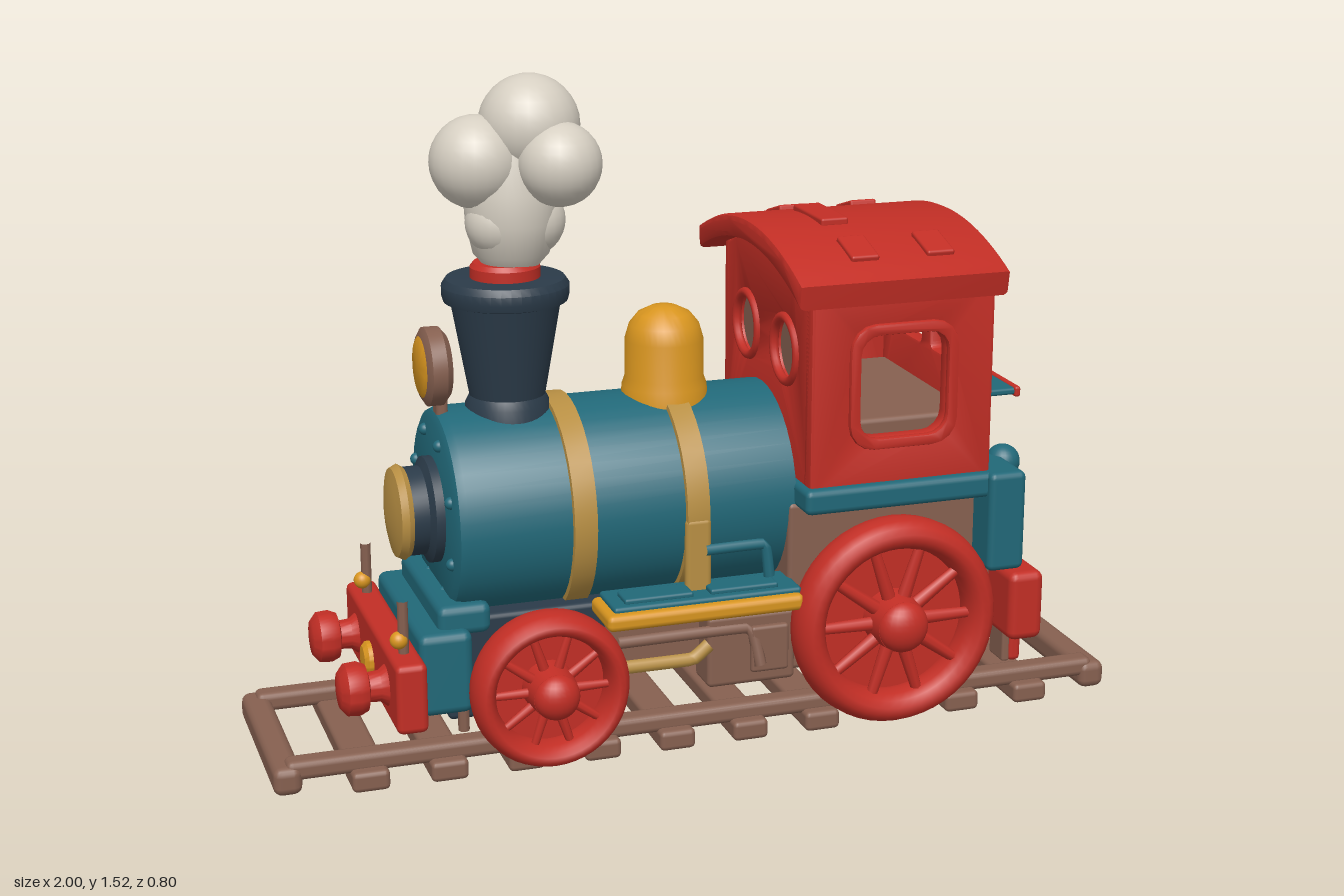
import * as THREE from 'three';
import { RoundedBoxGeometry } from 'three/addons/geometries/RoundedBoxGeometry.js';
import { toCreasedNormals } from 'three/addons/utils/BufferGeometryUtils.js';

const paint = (name, color) => {
  const m = new THREE.MeshStandardMaterial({ color });
  m.name = name;
  return m;
};

export function createModel() {
  const red = paint('red', 0xc22e25), teal = paint('teal', 0x216878), navy = paint('navy', 0x2b3b49);
  const brown = paint('brown', 0x866050), gold = paint('gold', 0xd8951f), tan = paint('tan', 0xb88f43);
  const cream = paint('cream', 0xd6cfc2);
  const model = new THREE.Group();
  model.name = 'toyTrain';

  const add = (name, geo, mat, x = 0, y = 0, z = 0, parent = model) => {
    const m = new THREE.Mesh(geo, mat);
    m.name = name;
    m.position.set(x, y, z);
    parent.add(m);
    return m;
  };
  // Rounded box given by its extents
  const box = (name, mat, x0, x1, y0, y1, z0, z1, r = 0.012) => {
    const w = x1 - x0, h = y1 - y0, d = z1 - z0;
    const geo = new RoundedBoxGeometry(w, h, d, 2, Math.min(r, w * 0.45, h * 0.45, d * 0.45));
    return add(name, geo, mat, (x0 + x1) / 2, (y0 + y1) / 2, (z0 + z1) / 2);
  };
  const ball = (name, mat, x, y, z, r) => add(name, new THREE.SphereGeometry(r, 24, 16), mat, x, y, z);
  // Turned part from [radius, height] points; axis y, or laid along -x
  const turned = (name, mat, pts, x, y, z, alongX = false) => {
    const lathe = new THREE.LatheGeometry(pts.map(p => new THREE.Vector2(...p)), 40);
    const m = add(name, toCreasedNormals(lathe, 0.6), mat, x, y, z);
    if (alongX) m.rotation.z = Math.PI / 2;
    return m;
  };
  const rod = (name, mat, r, pts) => add(name, new THREE.TubeGeometry(
    new THREE.CatmullRomCurve3(pts.map(p => new THREE.Vector3(...p)), false, 'catmullrom', 0.1), 16, r, 8), mat);
  const both = fn => [1, -1].forEach(fn);

  // Track
  both(s => box('rail', brown, -0.97, 0.97, 0.04, 0.085, s * 0.2 - 0.027, s * 0.2 + 0.027, 0.015));
  for (let i = 0; i < 10; i++) {
    const x = -0.79 + i * 0.176;
    box('sleeper', brown, x - 0.042, x + 0.042, 0.005, 0.052, -0.255, 0.255);
  }
  both(s => box('trackEnd', brown, s * 0.968 - 0.032, s * 0.968 + 0.032, 0.01, 0.075, -0.235, 0.235, 0.02));

  // Chassis
  box('frontFrame', navy, -0.6, -0.2, 0.12, 0.36, -0.19, 0.19);
  box('middleFrame', brown, -0.24, 0.22, 0.2, 0.35, -0.2, 0.2);
  box('rearFrame', brown, 0.18, 0.69, 0.16, 0.56, -0.24, 0.24);
  box('frontDeck', teal, -0.67, -0.55, 0.15, 0.34, -0.23, 0.23, 0.02);
  box('deckStep', teal, -0.62, -0.5, 0.32, 0.39, -0.2, 0.2, 0.02);
  both(s => {
    const zs = (a, b) => [Math.min(s * a, s * b), Math.max(s * a, s * b)];
    box('runningBoardEdge', gold, -0.27, 0.19, 0.335, 0.373, ...zs(0.18, 0.325), 0.014);
    box('runningBoardTop', teal, -0.25, 0.19, 0.36, 0.384, ...zs(0.18, 0.303), 0.008);
    box('boardPanel', teal, -0.22, -0.06, 0.38, 0.395, ...zs(0.22, 0.285), 0.006);
    box('boardPanel', teal, -0.02, 0.14, 0.38, 0.395, ...zs(0.22, 0.285), 0.006);
    box('cylinderBlock', brown, -0.02, 0.19, 0.15, 0.32, ...zs(0.17, 0.265));
    box('blockPanel', brown, 0.08, 0.17, 0.18, 0.29, ...zs(0.25, 0.278), 0.008);
    rod('pistonRod', tan, 0.016, [[-0.25, 0.23, s * 0.27], [-0.06, 0.23, s * 0.27], [-0.02, 0.26, s * 0.27]]);
    rod('sideRod', brown, 0.014, [[-0.23, 0.285, s * 0.26], [0.08, 0.285, s * 0.26], [0.1, 0.2, s * 0.28]]);
    rod('boilerPipe', teal, 0.013, [[-0.02, 0.475, s * 0.245], [0.12, 0.475, s * 0.245], [0.13, 0.4, s * 0.25]]);
  });

  // Boiler, bands and front door
  turned('boiler', teal, [[0, -0.2], [0.235, -0.2], [0.235, 0.555], [0.228, 0.572], [0.212, 0.58], [0, 0.58]], 0, 0.55, 0, true);
  [-0.295, -0.035].forEach(x => turned('boilerBand', tan,
    [[0.23, -0.028], [0.246, -0.026], [0.246, 0.026], [0.23, 0.028]], x, 0.55, 0, true));
  both(s => box('bandFoot', tan, -0.065, -0.005, 0.37, 0.55, s * 0.235 - 0.013, s * 0.235 + 0.013));
  turned('smokeboxRing', navy, [[0.12, 0], [0.12, 0.03], [0.1, 0.04], [0.1, 0.08], [0, 0.08]], -0.57, 0.555, 0, true);
  turned('smokeboxDoor', tan, [[0.1, 0], [0.108, 0.012], [0.1, 0.028], [0.075, 0.034], [0, 0.046]], -0.645, 0.555, 0, true);
  for (let i = 0; i < 8; i++) {
    const a = (i + 0.5) * Math.PI / 4;
    ball('boilerRivet', teal, -0.58, 0.55 + 0.185 * Math.sin(a), 0.185 * Math.cos(a), 0.014);
  }

  // Headlamp
  box('lampPost', brown, -0.572, -0.545, 0.7, 0.84, -0.025, 0.025);
  turned('lampBody', brown, [[0, -0.03], [0.07, -0.03], [0.088, -0.015], [0.088, 0.018], [0.072, 0.028], [0, 0.028]], -0.573, 0.885, 0, true);
  turned('lampGlass', gold, [[0.07, 0], [0.06, 0.006], [0, 0.009]], -0.6, 0.885, 0, true);

  // Chimney, dome and smoke
  turned('chimney', navy, [[0.1, 0.74], [0.095, 0.79], [0.085, 0.81], [0.122, 1.02], [0.138, 1.025], [0.142, 1.04],
    [0.142, 1.06], [0.132, 1.075], [0, 1.078]], -0.405, 0, 0);
  turned('chimneyCollar', red, [[0.078, 1.07], [0.078, 1.1], [0.07, 1.11], [0, 1.11]], -0.405, 0, 0);
  turned('steamDome', gold, [[0.1, 0.75], [0.097, 0.8], [0.09, 0.82], [0.09, 0.905], [0.08, 0.94], [0.06, 0.965], [0.03, 0.98], [0, 0.984]], -0.037, 0, 0);
  turned('smokeColumn', cream, [[0.05, 1.09], [0.085, 1.13], [0.1, 1.2], [0.105, 1.27], [0.08, 1.36], [0, 1.42]], -0.39, 0, 0);
  [[-0.465, 1.335, 0, 0.103], [-0.3, 1.335, 0.083, 0.093], [-0.3, 1.335, -0.083, 0.093],
    [-0.345, 1.41, 0, 0.112], [-0.35, 1.2, 0, 0.082], [-0.42, 1.2, 0.015, 0.075]].forEach(p => ball('smokePuff', cream, ...p));

  // Cab walls with window openings
  const rectPath = (x0, x1, y0, y1, r) => new THREE.Path([...Array(4).keys()].flatMap(k => {
    const cx = k === 0 || k === 3 ? x1 - r : x0 + r, cy = k < 2 ? y1 - r : y0 + r;
    return [0, 1, 2, 3, 4].map(j => {
      const a = (k + j / 4) * Math.PI / 2;
      return new THREE.Vector2(cx + r * Math.cos(a), cy + r * Math.sin(a));
    });
  }));
  const slab = (shape, depth, bevel = 0.008) => toCreasedNormals(new THREE.ExtrudeGeometry(shape, {
    depth: depth - 2 * bevel, bevelThickness: bevel, bevelSize: bevel, bevelOffset: -bevel, bevelSegments: 2, curveSegments: 24,
  }).translate(0, 0, bevel), 0.6);

  both(s => {
    const side = new THREE.Shape(rectPath(0.21, 0.65, 0.58, 1.07, 0.01).getPoints());
    side.holes.push(rectPath(0.325, 0.535, 0.712, 0.95, 0.045));
    add('cabSide', slab(side, 0.04), red, 0, 0, s * 0.268 - 0.02);
    const frame = new THREE.Shape(rectPath(0.3, 0.56, 0.687, 0.975, 0.06).getPoints());
    frame.holes.push(rectPath(0.325, 0.535, 0.712, 0.95, 0.045));
    add('sideWindowFrame', slab(frame, 0.02, 0.005), red, 0, 0, s * 0.29 - 0.01);
  });
  const endWall = (name, x, holes) => {
    const w = new THREE.Shape();
    w.moveTo(-0.285, 0.58);
    w.lineTo(0.285, 0.58);
    w.lineTo(0.285, 1.05);
    w.quadraticCurveTo(0, 1.2, -0.285, 1.05);
    w.holes.push(...holes);
    add(name, slab(w, 0.04), red, x).rotation.y = Math.PI / 2;
  };
  endWall('cabRear', 0.61, [1, -1].map(s => rectPath(s * 0.107 - 0.08, s * 0.107 + 0.08, 0.835, 0.967, 0.014)));
  endWall('cabFront', 0.21, [1, -1].map(s => new THREE.Path().absarc(s * 0.125, 0.89, 0.07, 0, Math.PI * 2)));
  both(s => {
    const pane = add('frontWindowPane', new THREE.CylinderGeometry(0.075, 0.075, 0.008, 32), brown, 0.23, 0.89, s * 0.125);
    pane.rotation.z = Math.PI / 2;
    const ring = add('frontWindowRing', new THREE.TorusGeometry(0.074, 0.011, 10, 32), red, 0.21, 0.89, s * 0.125);
    ring.rotation.y = Math.PI / 2;
  });
  box('cabFloor', brown, 0.24, 0.62, 0.54, 0.745, -0.25, 0.25);
  box('rearShelf', teal, 0.64, 0.745, 0.762, 0.778, -0.225, 0.225, 0.006);
  box('rearShelfEdge', red, 0.735, 0.75, 0.757, 0.782, -0.23, 0.23, 0.006);

  // Arched roof with raised plates
  const roof = new THREE.Shape();
  roof.moveTo(-0.335, 1.03);
  roof.quadraticCurveTo(0, 1.19, 0.335, 1.03);
  roof.lineTo(0.345, 1.085);
  roof.quadraticCurveTo(0, 1.245, -0.345, 1.085);
  add('cabRoof', slab(roof, 0.5, 0.014), red, 0.16).rotation.y = Math.PI / 2;
  [[0.34, 0, 0.18], [0.34, 0.225, 0.1], [0.34, -0.225, 0.1], [0.52, 0.225, 0.1], [0.52, -0.225, 0.1]].forEach(([x, z, d]) => {
    const plate = box('roofPlate', red, x - 0.033, x + 0.033, -0.01, 0.01, -d / 2, d / 2, 0.006);
    plate.position.set(x, 1.165 - 0.08 * (z / 0.345) ** 2, z);
    plate.rotation.x = Math.atan(0.16 * z / 0.345 ** 2);
  });

  // Rear bunker, posts and buffer beam
  box('cabSkirt', teal, 0.195, 0.7, 0.55, 0.608, -0.312, 0.312, 0.015);
  box('rearBunker', teal, 0.635, 0.725, 0.375, 0.61, -0.33, 0.33, 0.015);
  box('rearBeam', red, 0.68, 0.765, 0.21, 0.375, -0.36, 0.36, 0.02);
  both(s => {
    const z = s * 0.178;
    rod('rearPost', brown, 0.015, [[0.735, 0.36, z], [0.735, 0.58, z]]);
    ball('postKnob', teal, 0.735, 0.59, z, 0.04);
    box('rearHookTop', red, 0.735, 0.782, 0.18, 0.255, z - 0.044, z + 0.044);
    box('rearHook', red, 0.75, 0.782, 0.1, 0.22, z - 0.04, z + 0.04);
    box('rearHookBack', brown, 0.735, 0.755, 0.1, 0.2, z - 0.036, z + 0.036, 0.006);
  });

  // Front beam and buffers
  box('frontBeam', red, -0.735, -0.665, 0.14, 0.3, -0.285, 0.285, 0.015);
  both(s => {
    turned('buffer', red, [[0.05, 0], [0.035, 0.02], [0.033, 0.045], [0.052, 0.05], [0.06, 0.068], [0.058, 0.095], [0.04, 0.11], [0, 0.114]],
      -0.73, 0.215, s * 0.165, true);
    rod('handrailPost', brown, 0.012, [[-0.7, 0.29, s * 0.2], [-0.7, 0.42, s * 0.2]]);
    ball('handrailKnob', gold, -0.71, 0.33, s * 0.2, 0.02);
    rod('guardIron', brown, 0.013, [[-0.57, 0.2, s * 0.2], [-0.57, 0.1, s * 0.2]]);
  });
  turned('frontCoupling', gold, [[0.04, 0], [0.04, 0.015], [0.03, 0.024], [0, 0.026]], -0.73, 0.215, 0, true);

  // Spoked wheels
  const wheel = (name, x, y, r, hub) => both(s => {
    const g = new THREE.Group();
    g.name = name;
    g.position.set(x, y, s * 0.305);
    if (s < 0) g.rotation.y = Math.PI;
    model.add(g);
    const t = r * 0.15;
    add('rim', new THREE.TorusGeometry(r - t, t, 14, 48), red, 0, 0, 0, g).scale.z = 0.055 / t;
    add('web', new THREE.CylinderGeometry(r - t, r - t, 0.02, 40).rotateX(Math.PI / 2), red, 0, 0, -0.025, g);
    for (let i = 0; i < 10; i++) {
      const spoke = new THREE.CylinderGeometry(r * 0.05, r * 0.075, r * 0.8, 8).translate(0, r * 0.42, 0);
      add('spoke', spoke, red, 0, 0, 0.015, g).rotation.z = (i + 0.5) * Math.PI / 5;
    }
    add('hub', new THREE.CylinderGeometry(hub, hub * 1.15, 0.08, 28).rotateX(Math.PI / 2), red, 0, 0, 0.02, g);
    add('hubCap', new THREE.SphereGeometry(hub, 24, 14), red, 0, 0, 0.055, g).scale.z = 0.042 / hub;
  });
  wheel('rearWheel', 0.412, 0.283, 0.245, 0.06);
  wheel('frontWheel', -0.4, 0.22, 0.178, 0.052);
  [[0.412, 0.283], [-0.4, 0.22]].forEach(([x, y]) =>
    add('axle', new THREE.CylinderGeometry(0.03, 0.03, 0.58, 16).rotateX(Math.PI / 2), navy, x, y, 0));
  return model;
}
